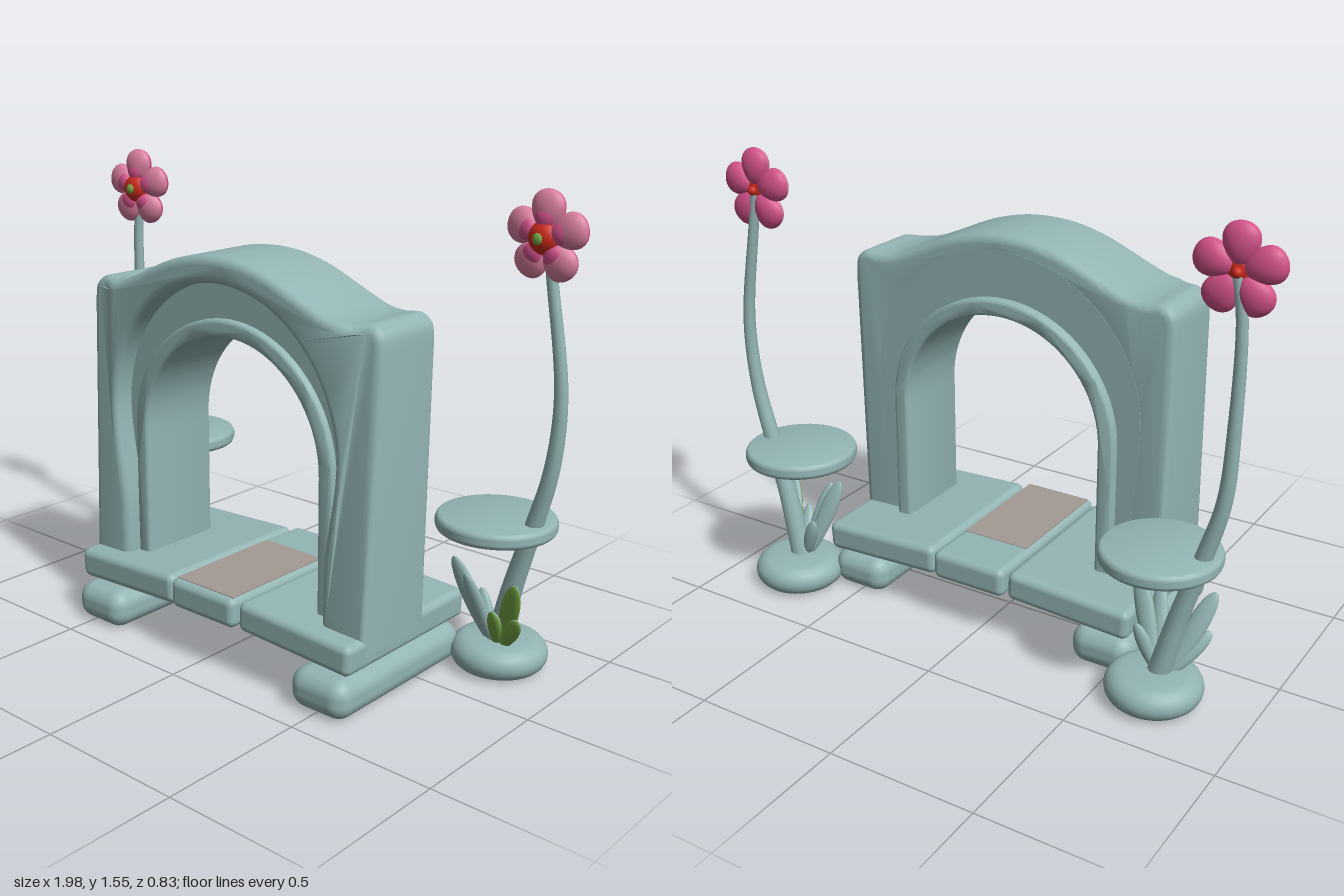
import * as THREE from 'three';
import { toCreasedNormals } from 'three/addons/utils/BufferGeometryUtils.js';
import { RoundedBoxGeometry } from 'three/addons/geometries/RoundedBoxGeometry.js';

const V2 = THREE.Vector2, V3 = THREE.Vector3;
const CX = 0.025; // axis of the gate

function mat(name, color) {
  const m = new THREE.MeshStandardMaterial({ color });
  m.name = name;
  return m;
}

export function createModel() {
  const stone = mat('teal stone', 0x94b5b5);
  const brown = mat('brown stone', 0xa39a93);
  const green = mat('leaf green', 0x78a845);
  const pink = mat('petal pink', 0xd97f9f);
  const rose = mat('deep rose', 0xd3528a);
  const red = mat('flower red', 0xcc2a1c);

  const model = new THREE.Group();
  model.name = 'flowerGate';

  function add(parent, name, geo, material, x = 0, y = 0, z = 0) {
    const m = new THREE.Mesh(geo, material);
    m.name = name;
    m.position.set(x, y, z);
    parent.add(m);
    return m;
  }

  // ---- Gate ----
  const gate = new THREE.Group();
  gate.name = 'gate';
  gate.position.x = CX;
  model.add(gate);

  // Round arch line from the right foot over the top to the left foot
  function archLine(hw, yc, bottom, foot = hw) {
    const half = [];
    for (let i = 0; i <= 10; i++) {
      const y = bottom + (yc - bottom) * i / 10;
      half.push(new V2(foot + (hw - foot) * THREE.MathUtils.smoothstep(y, bottom + 0.2, yc), y));
    }
    for (let i = 1; i <= 20; i++) {
      const a = Math.PI / 2 * i / 20;
      half.push(new V2(hw * Math.cos(a), yc + hw * Math.sin(a)));
    }
    return mirrorLine(half);
  }
  function mirrorLine(half) {
    return half.concat(half.slice(0, -1).reverse().map(p => new V2(-p.x, p.y)));
  }
  function archSolid(outer, inner, z0, z1, bevel) {
    const shape = new THREE.Shape(outer.concat(inner.slice().reverse()));
    const geo = new THREE.ExtrudeGeometry(shape, {
      depth: z1 - z0 - 2 * bevel, bevelEnabled: bevel > 0, bevelSize: bevel,
      bevelThickness: bevel, bevelOffset: -bevel, bevelSegments: 4,
    });
    return geo.translate(0, 0, z0 + bevel);
  }

  // Shouldered outline with a bell-shaped crown
  const crown = new THREE.SplineCurve([
    [0.605, 1.1], [0.598, 1.16], [0.56, 1.19], [0.5, 1.187], [0.44, 1.195],
    [0.36, 1.226], [0.22, 1.286], [0.1, 1.317], [0, 1.325],
  ].map(p => new V2(...p))).getPoints(40);
  const outline = mirrorLine([new V2(0.592, 0.19), ...crown]);

  const wall = archSolid(outline, archLine(0.468, 0.77, 0.19, 0.425), 0, 0.315, 0.028);
  // The outer front edge of the legs leans back towards the shoulders
  const wp = wall.attributes.position;
  for (let i = 0; i < wp.count; i++) {
    if (wp.getZ(i) < 0.2) continue;
    const k = THREE.MathUtils.smoothstep(Math.abs(wp.getX(i)), 0.46, 0.56);
    wp.setZ(i, wp.getZ(i) - 0.045 * k * THREE.MathUtils.clamp(wp.getY(i) - 0.2, 0, 1));
  }
  add(gate, 'archWall', toCreasedNormals(wall, 0.7), stone);

  // Recessed step and inner lining
  const step = archSolid(archLine(0.505, 0.77, 0.2, 0.48), archLine(0.4, 0.695, 0.2), -0.001, 0.24, 0);
  add(gate, 'archStep', toCreasedNormals(step, 0.7), stone);
  const lining = archSolid(archLine(0.425, 0.695, 0.22), archLine(0.37, 0.695, 0.22), -0.037, 0.265, 0.012);
  add(gate, 'archLining', toCreasedNormals(lining, 0.7), stone);

  // ---- Floor slabs, slightly bowed, with brown inlays ----
  for (const s of [-1, 0, 1]) {
    const w = s ? 0.445 : 0.275, d = s ? 0.605 : 0.635;
    const slab = add(gate, 'floorSlab', new RoundedBoxGeometry(w, 0.1, d, 4, 0.025), stone,
      s * 0.368, s ? 0.206 : 0.219, 0.08);
    slab.rotation.z = -s * 0.045;
    add(slab, 'slabUnderside', new THREE.BoxGeometry(w - 0.04, 0.004, d - 0.04), brown, 0, -0.05, 0);
    if (!s) add(slab, 'slabTopInlay', new THREE.BoxGeometry(w - 0.03, 0.004, 0.43), brown, 0, 0.05, 0.08);
  }

  // ---- Foot beams ----
  for (const s of [-1, 1]) {
    add(gate, 'footBeam', new RoundedBoxGeometry(0.22, 0.13, 0.63, 6, 0.055), stone, s * 0.485, 0.068, 0.1);
  }

  // ---- Rounded discs for pots and tables ----
  function disc(r, h, round) {
    const pts = [new V2(0, -h / 2)];
    for (let i = 0; i <= 10; i++) {
      const a = -Math.PI / 2 + Math.PI * i / 10;
      pts.push(new V2(r - round + round * Math.cos(a), h / 2 * Math.sin(a)));
    }
    pts.push(new V2(0, h / 2));
    return toCreasedNormals(new THREE.LatheGeometry(pts, 48), 0.7);
  }

  // Flattened pod with separately coloured front and back, from base to tip
  function pod(parent, name, base, tip, width, thick, front, back) {
    const g = new THREE.Group();
    g.name = name;
    const dir = tip.clone().sub(base), len = dir.length();
    g.position.copy(base);
    g.quaternion.setFromUnitVectors(new V3(0, 1, 0), dir.normalize());
    for (const [start, m] of [[0, front], [Math.PI, back]]) {
      const geo = new THREE.SphereGeometry(1, 12, 14, start, Math.PI);
      const p = geo.attributes.position;
      for (let i = 0; i < p.count; i++) {
        const taper = 1 + 0.25 * p.getY(i); // broader towards the tip
        p.setX(i, p.getX(i) * taper);
      }
      geo.scale(width, len / 2, thick).translate(0, len / 2, 0);
      geo.computeVertexNormals();
      add(g, name + (start ? 'Back' : 'Front'), geo, m);
    }
    parent.add(g);
  }

  // Stem that thins out upwards
  function stemGeometry(points) {
    const curve = new THREE.CatmullRomCurve3(points), n = 40, sides = 12;
    const geo = new THREE.TubeGeometry(curve, n, 1, sides);
    const p = geo.attributes.position, v = new V3();
    for (let i = 0; i < p.count; i++) {
      const t = Math.floor(i / (sides + 1)) / n, c = curve.getPointAt(t);
      const r = 0.017 + 0.022 * Math.pow(1 - t, 1.6);
      v.fromBufferAttribute(p, i).sub(c).multiplyScalar(r).add(c);
      p.setXYZ(i, v.x, v.y, v.z);
    }
    return geo;
  }

  function flower(parent, x, y, z, turn) {
    const f = new THREE.Group();
    f.name = 'flower';
    f.position.set(x, y, z);
    f.rotation.y = turn;
    for (let i = 0; i < 5; i++) {
      const a = Math.PI / 2 + i * Math.PI * 2 / 5;
      const petal = new THREE.Group();
      petal.name = 'petal';
      petal.rotation.z = a - Math.PI / 2;
      pod(petal, 'petalBody', new V3(0, 0.012, 0), new V3(0, 0.14, 0), 0.053, 0.034, pink, rose);
      pod(petal, 'petalHeart', new V3(0, 0.02, 0.016), new V3(0, 0.092, 0.016), 0.034, 0.022, rose, rose);
      f.add(petal);
    }
    add(f, 'flowerCentre', new THREE.SphereGeometry(0.05, 20, 14).scale(1, 1, 0.75), red, 0, 0, 0.015);
    add(f, 'flowerEye', new THREE.SphereGeometry(0.018, 12, 8).scale(1, 1, 0.6), green, 0, 0, 0.048);
    add(f, 'flowerBack', new THREE.SphereGeometry(0.016, 12, 8), red, 0, 0, -0.022);
    parent.add(f);
  }

  // ---- Plants beside the gate ----
  for (const s of [-1, 1]) {
    const plant = new THREE.Group();
    plant.name = s > 0 ? 'leftPlant' : 'rightPlant';
    model.add(plant);
    const X = d => CX + s * d;
    add(plant, 'pot', disc(0.157, 0.104, 0.055), stone, s > 0 ? 0.735 : -0.68, 0.055, -0.25);
    add(plant, 'table', disc(0.193, 0.05, 0.015), stone, X(0.695), 0.5, -0.223);

    const topX = s > 0 ? 0.855 : -0.855;
    add(plant, 'stem', stemGeometry([
      new V3(X(0.71), 0.08, -0.235), new V3(X(0.765), 0.3, -0.225), new V3(X(0.832), 0.52, -0.218),
      new V3(X(0.885), 0.72, -0.215), new V3(X(0.9), 0.95, -0.215), new V3(topX + s * 0.02, 1.28, -0.215),
      new V3(topX, 1.4, -0.215),
    ]), stone);
    flower(plant, topX, 1.41, -0.205, s * -0.06);

    // Leaves: outward offset, tip height, tip z, width, front colour
    const inner = s < 0 ? green : stone;
    for (const [dx, y, z, w, m] of [
      [0.125, 0.355, -0.115, 0.032, green], [0.125, 0.23, -0.14, 0.026, green],
      [-0.125, 0.378, -0.15, 0.032, inner], [-0.06, 0.345, -0.12, 0.026, stone],
      [0.04, 0.24, -0.13, 0.024, green], [-0.08, 0.25, -0.25, 0.024, stone],
    ]) {
      pod(plant, 'leaf', new V3(X(0.715 + dx * 0.15), 0.08, -0.225), new V3(X(0.715 + dx), y, z), w, 0.018, m, stone);
    }
  }

  return model;
}
